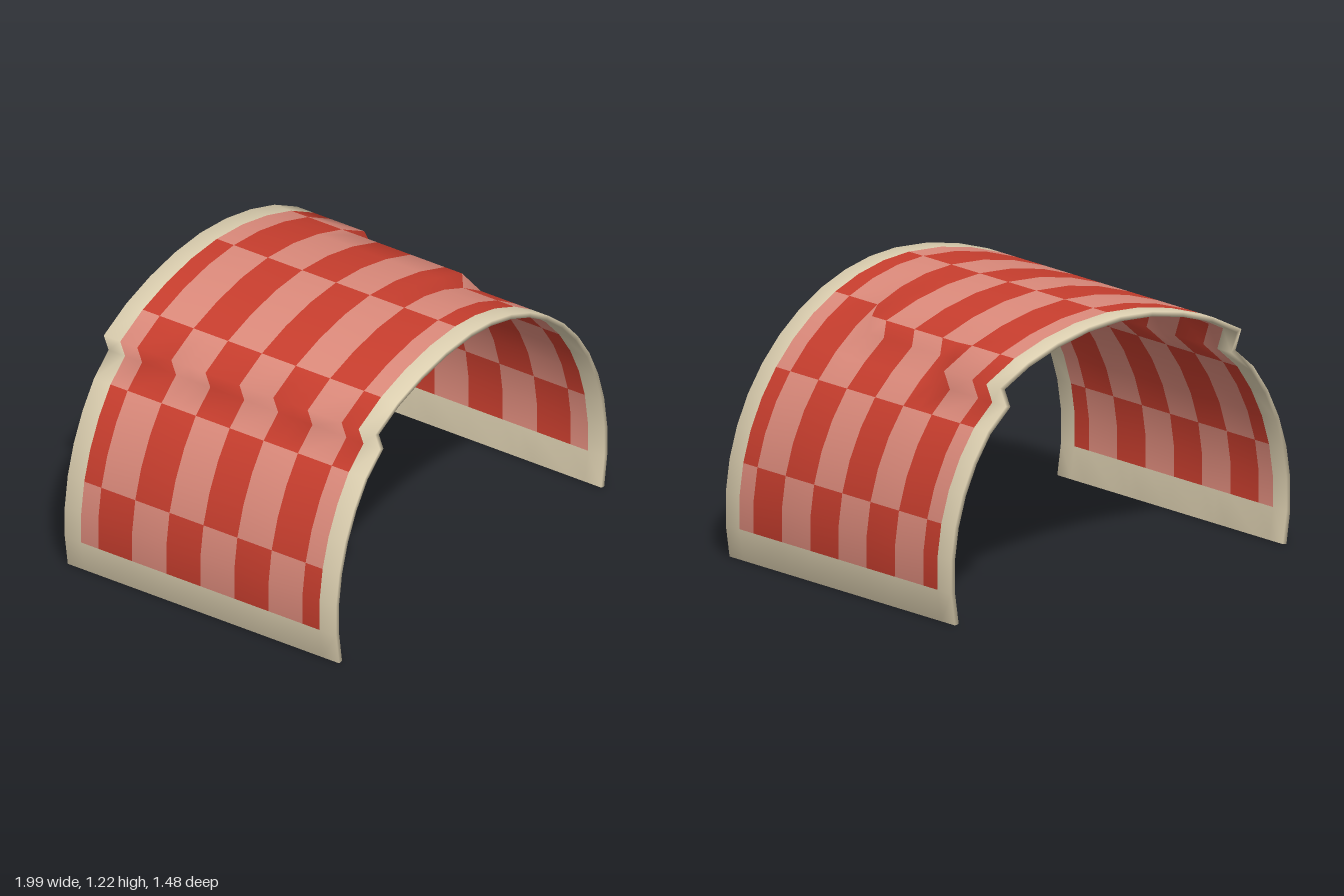
import * as THREE from 'three';

const SEGMENTS = 24;                    // strips along the arch
const STEP = THREE.MathUtils.degToRad(60 / 7);
const CENTRE_Y = Math.sin(Math.PI / 2 - 12 * STEP) * -1;
const THICKNESS = 0.022;

// Columns along the depth, with the checker band that starts at each one (-1 is the border)
const COLUMNS = [0.74, 0.65, 0.557, 0.372, 0.28, 0.185, 0, -0.185, -0.28, -0.372, -0.557, -0.65, -0.74];
const BANDS = [-1, 0, 1, 2, 2, 3, 4, 5, 5, 6, 7, -1];

// Profile points that leave the round arch where the sheet is stepped
const RIDGE = { 7: [0.675, 0.94], 8: [0.71, 1.03], 9: [0.545, 1.115], 10: [0.37, 1.172], 11: [0.188, 1.209] };
const SOFT = { 7: [0.68, 0.945], 8: [0.565, 1.035], 9: [0.55, 1.112], 10: [0.37, 1.172], 11: [0.188, 1.209] };

// Outer arch section at one depth: right foot, over the top, left foot
function outerProfile(z) {
  const rightStep = z > 0.3 ? {} : z > -0.3 ? SOFT : RIDGE;
  const points = [];
  for (let k = 0; k <= SEGMENTS; k++) {
    const right = k <= 12;
    const i = right ? k : SEGMENTS - k;
    const angle = Math.PI / 2 - (12 - i) * STEP;
    const p = (right ? rightStep : RIDGE)[i] || [Math.cos(angle), CENTRE_Y + Math.sin(angle)];
    points.push(new THREE.Vector2(right ? p[0] : -p[0], p[1]));
  }
  return points;
}

// Inner section, offset by the sheet thickness with mitred corners
function innerProfile(points) {
  const normal = (a, b) => new THREE.Vector2(b.y - a.y, a.x - b.x).normalize();
  return points.map((p, k) => {
    const n1 = normal(points[Math.max(k - 1, 0)], points[Math.max(k, 1)]);
    const n2 = normal(points[Math.min(k, SEGMENTS - 1)], points[Math.min(k + 1, SEGMENTS)]);
    const n = n1.clone().add(n2).normalize();
    return p.clone().addScaledVector(n, -THICKNESS / Math.max(n.dot(n1), 0.7));
  });
}

// Checker cell along the arch for a strip (-1 is the border)
function archCell(k) {
  const edges = [1, 3, 6, 9, 12, 15, 18, 21, 23];
  for (let c = 0; c < 8; c++) if (k >= edges[c] && k < edges[c + 1]) return c;
  return -1;
}

export function createModel() {
  const materials = [
    ['cream', 0xdccfb0], ['red', 0xc83e2e], ['pink', 0xdc8a7b],
  ].map(([name, color]) => Object.assign(new THREE.MeshStandardMaterial({ color }), { name }));

  // Shared vertices for the outer and inner skins
  const positions = [];
  for (const z of COLUMNS) {
    const outer = outerProfile(z);
    const inner = innerProfile(outer);
    for (let k = 0; k <= SEGMENTS; k++) {
      positions.push(outer[k].x, outer[k].y, z, inner[k].x, inner[k].y, z);
    }
  }
  const out = (k, j) => 2 * (j * (SEGMENTS + 1) + k);
  const inn = (k, j) => out(k, j) + 1;

  const faces = [[], [], []];           // cream, red, pink
  const quad = (m, a, b, c, d) => faces[m].push(a, b, c, a, c, d);
  const last = COLUMNS.length - 1;

  // Checkered sheet with a plain border, both sides
  for (let j = 0; j < last; j++) {
    for (let k = 0; k < SEGMENTS; k++) {
      const cell = archCell(k), band = BANDS[j];
      const m = cell < 0 || band < 0 ? 0 : (cell + band) % 2 ? 1 : 2;
      quad(m, out(k, j), out(k, j + 1), out(k + 1, j + 1), out(k + 1, j));
      quad(m, inn(k, j), inn(k + 1, j), inn(k + 1, j + 1), inn(k, j + 1));
    }
    // Feet edges
    quad(0, inn(0, j + 1), out(0, j + 1), out(0, j), inn(0, j));
    const s = SEGMENTS;
    quad(0, inn(s, j), out(s, j), out(s, j + 1), inn(s, j + 1));
  }
  // Front and back rims
  for (let k = 0; k < SEGMENTS; k++) {
    quad(0, inn(k, 0), out(k, 0), out(k + 1, 0), inn(k + 1, 0));
    quad(0, inn(k + 1, last), out(k + 1, last), out(k, last), inn(k, last));
  }

  const geometry = new THREE.BufferGeometry();
  geometry.setAttribute('position', new THREE.Float32BufferAttribute(positions, 3));
  geometry.setIndex(faces.flat());
  let start = 0;
  faces.forEach((f, m) => {
    geometry.addGroup(start, f.length, m);
    start += f.length;
  });
  geometry.computeVertexNormals();

  const sheet = new THREE.Mesh(geometry, materials);
  sheet.name = 'checkeredArchSheet';
  const group = new THREE.Group();
  group.name = 'checkeredArch';
  group.add(sheet);
  return group;
}
